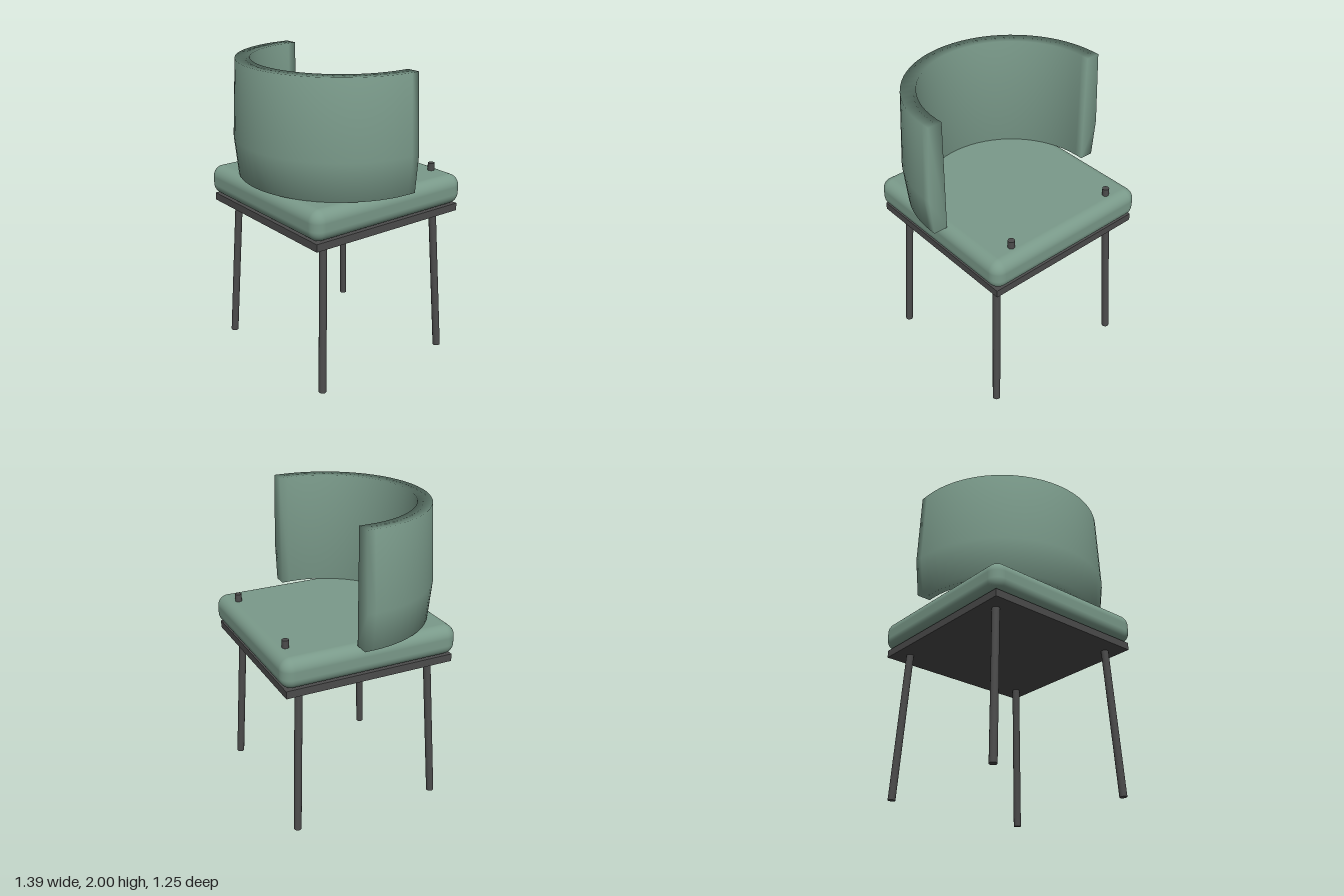
import * as THREE from 'three';
import { RoundedBoxGeometry } from 'three/addons/geometries/RoundedBoxGeometry.js';

const fabric = new THREE.MeshStandardMaterial({ color: 0x7a9a8a });
const metal = new THREE.MeshStandardMaterial({ color: 0x4c4c4c });

function add(parent, name, geometry, material, x = 0, y = 0, z = 0) {
  const mesh = new THREE.Mesh(geometry, material);
  mesh.name = name;
  mesh.position.set(x, y, z);
  parent.add(mesh);
  return mesh;
}

// Round rod between two points
function addRod(parent, name, from, to, radius) {
  const dir = to.clone().sub(from);
  const rod = add(parent, name, new THREE.CylinderGeometry(radius, radius, dir.length(), 16), metal);
  rod.position.copy(from).add(to).multiplyScalar(0.5);
  rod.quaternion.setFromUnitVectors(new THREE.Vector3(0, 1, 0), dir.normalize());
}

// Five-sided wall section swept round a half circle with short straight ends
function backrestGeometry() {
  const section = [[0.575, 1.25], [0.67, 1.25], [0.695, 1.5], [0.67, 2], [0.575, 2]];
  const arcZ = -0.075, endZ = -0.13, steps = 32, n = section.length;
  const stations = [[0, endZ]];
  for (let i = 0; i <= steps; i++) stations.push([(Math.PI * i) / steps, arcZ]);
  stations.push([Math.PI, endZ]);

  const positions = [], index = [];
  for (const [angle, z] of stations) {
    for (const [r, y] of section) positions.push(r * Math.cos(angle), y, z + r * Math.sin(angle));
  }
  for (let i = 0; i < stations.length - 1; i++) {
    for (let j = 0; j < n; j++) {
      const k = (j + 1) % n;
      const a = i * n + j, b = i * n + k, c = b + n, d = a + n;
      index.push(a, b, c, a, c, d);
    }
  }
  // End caps
  const last = (stations.length - 1) * n;
  for (let j = 1; j < n - 1; j++) {
    index.push(0, j + 1, j, last, last + j, last + j + 1);
  }
  const geometry = new THREE.BufferGeometry();
  geometry.setAttribute('position', new THREE.Float32BufferAttribute(positions, 3));
  geometry.setIndex(index);
  geometry.computeVertexNormals();
  return geometry;
}

export function createModel() {
  const chair = new THREE.Group();
  chair.name = 'chair';
  const seatZ = -0.025;

  // Seat
  add(chair, 'cushion', new RoundedBoxGeometry(1.2, 0.2, 1.2, 6, 0.075), fabric, 0, 1.15, seatZ);
  add(chair, 'seatFrame', new THREE.BoxGeometry(1.15, 0.05, 1.15), metal, 0, 1.025, seatZ);

  // Wraparound backrest
  add(chair, 'backrest', backrestGeometry(), fabric);

  // Splayed legs and short pegs
  for (const sx of [-1, 1]) {
    for (const sz of [-1, 1]) {
      addRod(chair, 'leg',
        new THREE.Vector3(sx * 0.525, 0.001, seatZ + sz * 0.5),
        new THREE.Vector3(sx * 0.474, 1.01, seatZ + sz * 0.452), 0.025);
    }
    addRod(chair, 'peg',
      new THREE.Vector3(sx * 0.4, 1.1, -0.525),
      new THREE.Vector3(sx * 0.4, 1.3, -0.525), 0.022);
  }
  return chair;
}
